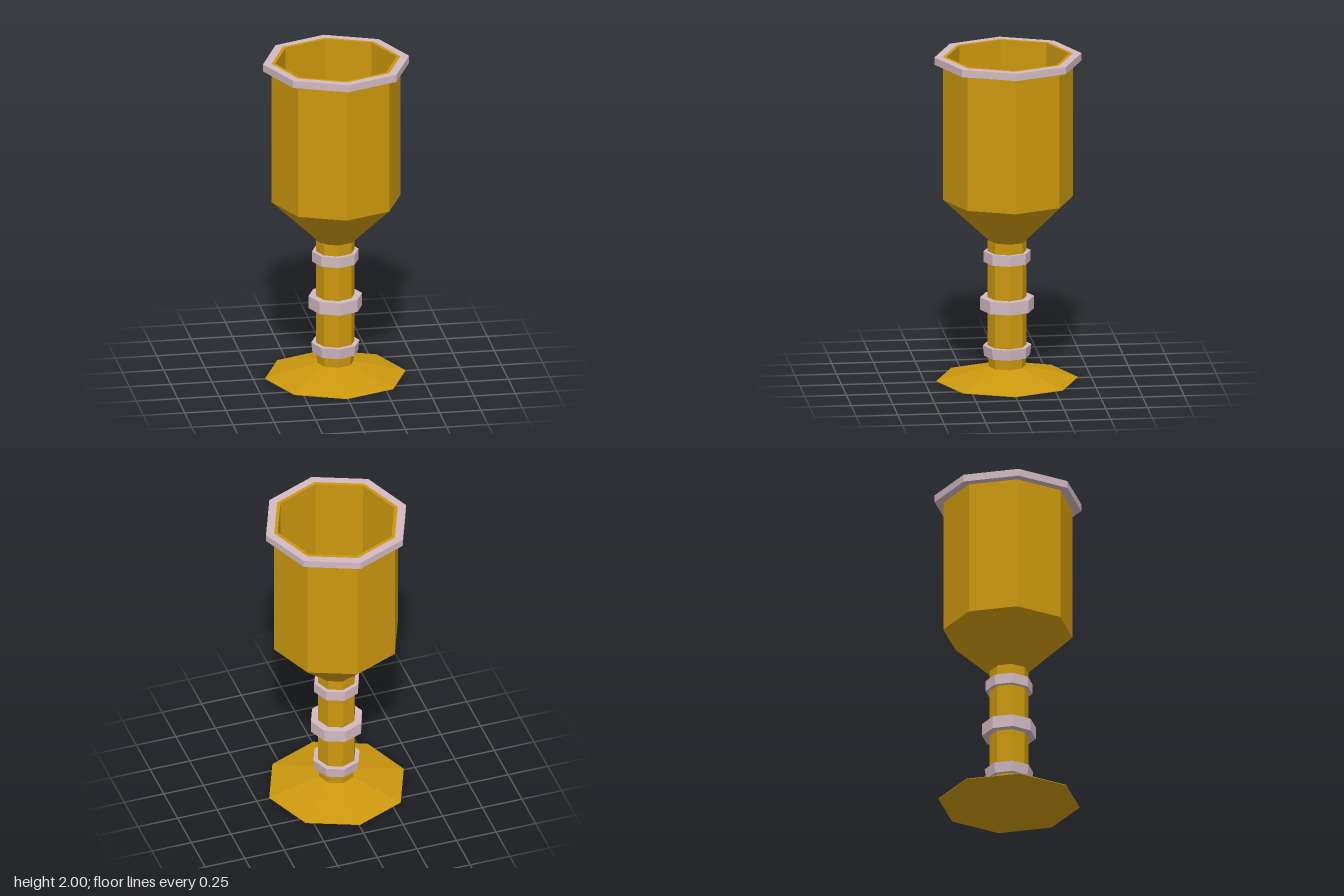
import * as THREE from 'three';

const SIDES = 8;

export function createModel() {
  const gold = new THREE.MeshStandardMaterial({ color: 0xcc980e, flatShading: true });
  gold.name = 'gold';
  const silver = new THREE.MeshStandardMaterial({ color: 0xd2bac2, flatShading: true });
  silver.name = 'rose silver';

  const goblet = new THREE.Group();
  goblet.name = 'goblet';

  // Turn an [radius, height] outline into an eight-sided part
  function turned(name, material, outline, parent) {
    const points = outline.map(([r, y]) => new THREE.Vector2(r, y));
    const mesh = new THREE.Mesh(new THREE.LatheGeometry(points, SIDES), material);
    mesh.name = name;
    parent.add(mesh);
  }

  // Closed band around an inner radius
  function band(name, inner, bottomR, topR, y0, y1, parent) {
    turned(name, silver, [[inner, y0], [bottomR, y0], [topR, y1], [inner, y1]], parent);
  }

  // Bowl: flared underside, straight wall, lip, inner wall and floor
  turned('bowl', gold, [
    [0, 0.86], [0.112, 0.86], [0.39, 1.12], [0.39, 2],
    [0.368, 2], [0.368, 1.12], [0, 1.12],
  ], goblet);
  band('rim', 0.39, 0.442, 0.442, 1.955, 2, goblet);

  // The foot and stem sit slightly off the bowl's axis
  const base = new THREE.Group();
  base.name = 'base';
  base.position.set(-0.005, 0, 0.005);
  goblet.add(base);

  turned('foot', gold, [[0, 0], [0.425, 0], [0.425, 0.004], [0.11, 0.085]], base);
  turned('stem', gold, [[0.11, 0.08], [0.117, 0.18], [0.117, 0.865]], base);
  band('lowerStemRing', 0.1, 0.138, 0.146, 0.15, 0.215, base);
  band('middleStemRing', 0.1, 0.162, 0.162, 0.435, 0.512, base);
  band('upperStemRing', 0.1, 0.141, 0.141, 0.73, 0.795, base);

  return goblet;
}
